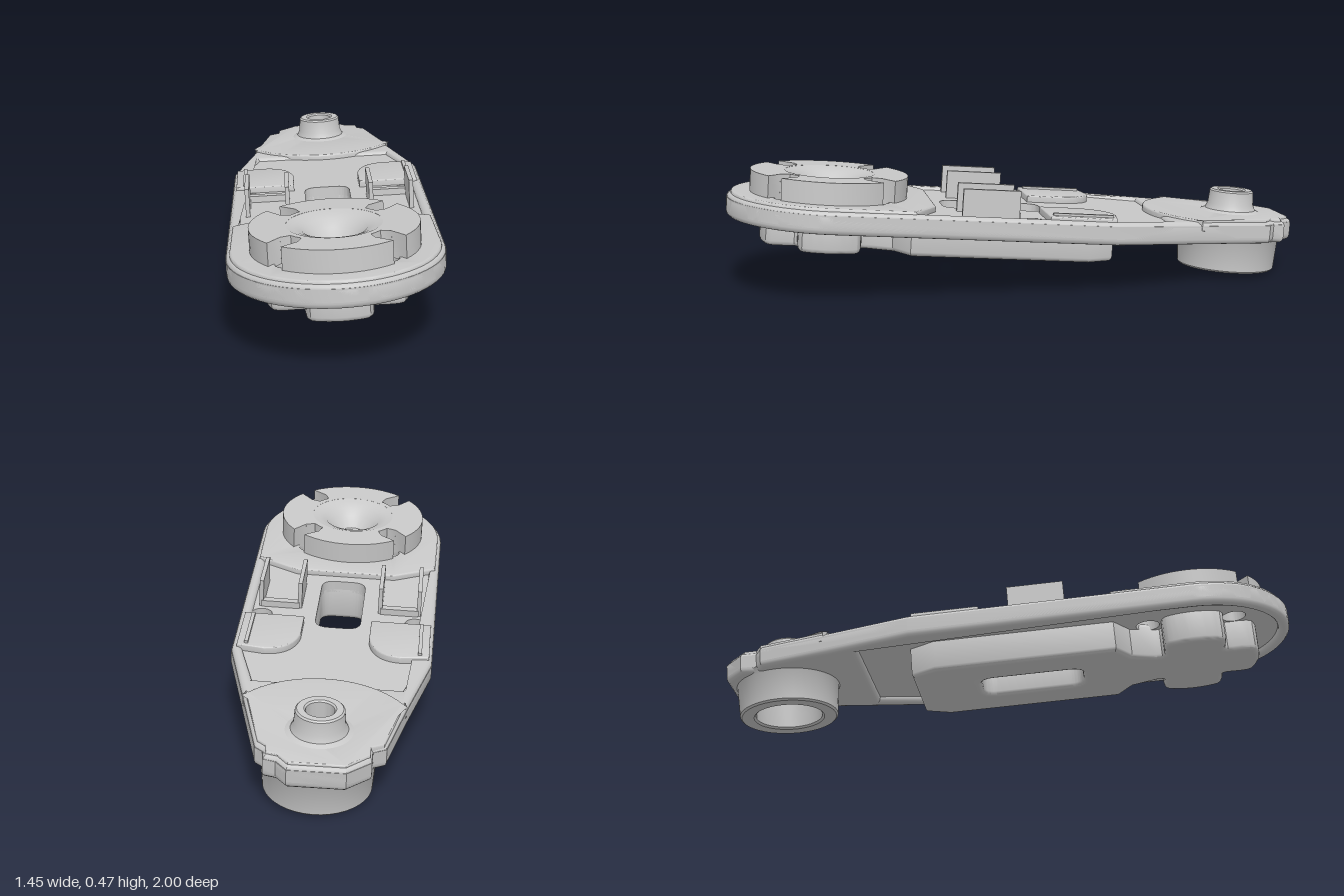
import * as THREE from 'three';
import { toCreasedNormals } from 'three/addons/utils/BufferGeometryUtils.js';

const BIG_Z = 0.7;    // centre of the wide hub along the arm
const TIP_Z = -0.904; // centre of the narrow pivot end

export function createModel() {
  const metal = new THREE.MeshStandardMaterial({ color: 0xc8c8c8, side: THREE.DoubleSide });
  metal.name = 'grey metal';

  const model = new THREE.Group();
  model.name = 'arm';
  const arm = new THREE.Group();
  arm.name = 'tiltedArm';
  arm.position.set(0.021, 0.31, 0.013);
  arm.rotation.set(-0.091, -0.545, 0);
  model.add(arm);

  const add = (name, geometry, x = 0, y = 0, z = 0) => {
    const mesh = new THREE.Mesh(toCreasedNormals(geometry, 0.6), metal);
    mesh.name = name;
    mesh.position.set(x, y, z);
    arm.add(mesh);
  };

  // Horizontal plate from a plan shape (shape y runs along the arm)
  const plate = (name, shape, top, bottom, bevel = 0) => {
    const g = new THREE.ExtrudeGeometry(shape, {
      depth: top - bottom - 2 * bevel, curveSegments: 28, bevelEnabled: bevel > 0,
      bevelThickness: bevel, bevelSize: bevel, bevelOffset: -bevel, bevelSegments: 3,
    });
    add(name, g.rotateX(Math.PI / 2), 0, top - bevel, 0);
  };
  const lathe = (name, pts, z) =>
    add(name, new THREE.LatheGeometry(pts.map(p => new THREE.Vector2(...p)), 40), 0, 0, z);

  const poly = pts => new THREE.Shape(pts.map(p => new THREE.Vector2(...p)));
  const circle = (x, y, r) => new THREE.Path().absarc(x, y, r, 0, Math.PI * 2, true);
  const arc = (cy, r, from, to, n = 32) => Array.from({ length: n + 1 }, (_, i) => {
    const a = from + (to - from) * i / n;
    return [r * Math.cos(a), cy + r * Math.sin(a)];
  });
  const boltHoles = r => [-1, 1].flatMap(sx =>
    [-1, 1].map(sz => circle(sx * 0.165, BIG_Z - 0.003 + sz * 0.165, r)));
  const sideHoles = () => [-1, 1].map(s => circle(s * 0.3, -0.053, 0.04));
  // Rounded opening through deck and keel
  const opening = () => {
    const w = 0.088, a = -0.13, b = 0.265, r = 0.055;
    const p = new THREE.Path();
    p.moveTo(-w + r, a).lineTo(w - r, a).quadraticCurveTo(w, a, w, a + r);
    p.lineTo(w, b - r).quadraticCurveTo(w, b, w - r, b).lineTo(-w + r, b);
    p.quadraticCurveTo(-w, b, -w, b - r).lineTo(-w, a + r).quadraticCurveTo(-w, a, -w + r, a);
    return p;
  };

  // Irregular narrow end of the plan outline, from left to right
  const tip = [[-0.295, -0.69], [-0.235, -0.962], [-0.19, -0.988], [-0.19, -1.05], [-0.11, -1.125],
    [0.09, -1.13], [0.13, -1.085], [0.175, -1.075], [0.18, -1.03], [0.21, -1.006], [0.292, -0.69]];
  const bigArc = r => arc(BIG_Z, r, 0, Math.PI);
  const outline = () => poly([...bigArc(0.385), [-0.372, -0.37], ...tip, [0.378, -0.36]]);

  // Deck
  const deck = outline();
  deck.holes.push(opening(), ...boltHoles(0.045), ...sideHoles(), circle(0, TIP_Z, 0.05));
  plate('deck', deck, -0.022, -0.07);

  // Rounded rim, hollow underneath
  const rim = outline();
  rim.holes.push(poly([...bigArc(0.34), [-0.335, -0.36], [-0.27, -0.58], [0.27, -0.58], [0.335, -0.36]]));
  rim.holes.push(circle(0, TIP_Z, 0.05));
  plate('rim', rim, -0.008, -0.095, 0.02);

  // Raised surface under the wide hub
  const hubPlate = poly([...bigArc(0.37), [-0.365, 0.4], [-0.2, 0.31], [0.2, 0.31], [0.365, 0.4]]);
  hubPlate.holes.push(...boltHoles(0.045));
  plate('hubPlate', hubPlate, 0.002, -0.04, 0.008);

  // Round collar, slotted at each bolt, with a shallow dish and funnel in the middle
  const collar = poly([0, 1, 2, 3].flatMap(k => {
    const bolt = Math.PI * (k / 2 + 0.25), next = bolt + Math.PI / 2;
    return [...arc(BIG_Z, 0.193, bolt - 0.13, bolt + 0.13, 4), ...arc(BIG_Z, 0.23, bolt + 0.18, bolt + 0.181, 1),
      ...arc(BIG_Z, 0.3, bolt + 0.11, next - 0.11, 14), ...arc(BIG_Z, 0.23, next - 0.181, next - 0.18, 1)];
  }));
  collar.holes.push(circle(0, BIG_Z, 0.17));
  plate('collar', collar, 0.085, -0.01);
  lathe('dish', [[0, -0.02], [0.05, 0.005], [0.09, 0.04], [0.115, 0.066], [0.145, 0.078], [0.172, 0.085]], BIG_Z);

  // Narrow end: raised round pad, hollow boss below and pin sleeve above
  const tipPad = poly([...tip.map(([x, z]) => [x * 0.96, z < -1 ? z + 0.015 : z]),
    ...arc(TIP_Z, 0.35, 0.6, Math.PI - 0.6)]);
  tipPad.holes.push(circle(0, TIP_Z, 0.05));
  plate('tipPad', tipPad, 0, -0.04, 0.006);
  lathe('pivotBoss', [[0.13, -0.075], [0.13, -0.215], [0.138, -0.222], [0.185, -0.222],
    [0.192, -0.215], [0.2, -0.1], [0.215, -0.075]], TIP_Z);
  lathe('pinSleeve', [[0.13, -0.005], [0.1, 0.008], [0.09, 0.03], [0.086, 0.08], [0.08, 0.086],
    [0.056, 0.086], [0.05, 0.08], [0.05, -0.08]], TIP_Z);

  // Keel under the arm, its hub notched to clear the bolts
  const hub = Array.from({ length: 61 }, (_, i) => {
    const a = -0.9 + (Math.PI + 1.8) * i / 60;
    const notch = Math.max(0, -Math.cos(4 * a)) ** 2;
    const r = 0.255 - 0.085 * notch;
    return [r * Math.cos(a), BIG_Z + r * Math.sin(a)];
  });
  const keel = poly([...hub, [-0.15, 0.46], [-0.24, 0.4], [-0.24, -0.29], [-0.19, -0.385],
    [0.19, -0.385], [0.24, -0.29], [0.24, 0.4], [0.15, 0.46]]);
  keel.holes.push(opening());
  plate('keel', keel, -0.04, -0.19, 0.018);

  for (const s of [-1, 1]) {
    const side = s < 0 ? 'right' : 'left';
    // Raised side pads with a rounded inner corner
    const pad = new THREE.Shape();
    pad.moveTo(s * 0.36, -0.1).lineTo(s * 0.36, -0.355).lineTo(s * 0.26, -0.37);
    pad.quadraticCurveTo(s * 0.15, -0.37, s * 0.13, -0.24).lineTo(s * 0.13, -0.1);
    plate(side + 'SidePad', pad, 0.004, -0.04, 0.005);
    // Long rib on each pad
    add(side + 'Rib', new THREE.BoxGeometry(0.014, 0.02, 0.23), s * 0.325, 0.003, -0.23);
    // Upright tabs
    for (const x of [0.158, 0.31]) {
      add(side + (x < 0.2 ? 'InnerTab' : 'OuterTab'),
        new THREE.BoxGeometry(0.016, 0.13, 0.215), s * x, 0.022, 0.118);
    }
    // Low cross web between the tabs
    add(side + 'Web', new THREE.BoxGeometry(0.15, 0.03, 0.03), s * 0.234, -0.012, 0.02);
  }
  return model;
}
